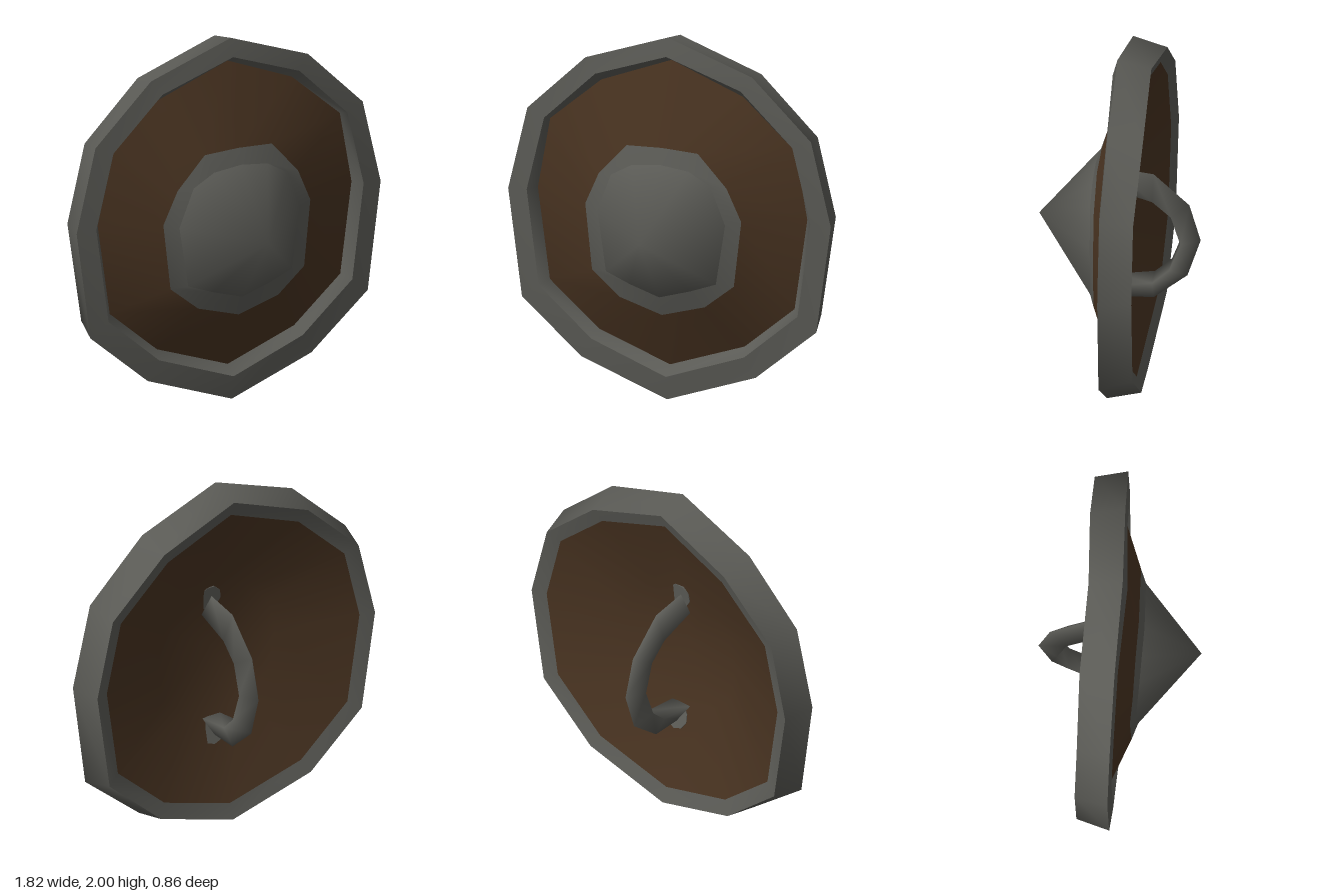
import * as THREE from 'three';
import { toCreasedNormals } from 'three/addons/utils/BufferGeometryUtils.js';

const iron = new THREE.MeshStandardMaterial({ color: 0x5a5a55 });
iron.name = 'iron grey';
const wood = new THREE.MeshStandardMaterial({ color: 0x473220 });
wood.name = 'dark wood';

// Mirror a right half (top to bottom) into a closed twelve-point ring
function ring(half) {
  const left = half.slice(1, -1).reverse().map(([x, y, z]) => [-x, y, z]);
  return [...half, ...left];
}
const point = (x, y, z) => Array.from({ length: 12 }, () => [x, y, z]);
const shrink = (r, s, dz) => r.map(([x, y, z]) => [x * s, 1 + (y - 1) * s, z + dz]);

// Skin successive rings; triangles collapsed at a point are dropped
function loft(name, material, rings, crease = 0.85) {
  const pos = [];
  const n = rings[0].length;
  const same = (a, b) => a.every((v, i) => v === b[i]);
  const tri = (a, b, c) => {
    if (!same(a, b) && !same(b, c) && !same(a, c)) pos.push(...a, ...b, ...c);
  };
  for (let r = 0; r < rings.length - 1; r++) {
    for (let i = 0; i < n; i++) {
      const j = (i + 1) % n;
      const [A, B] = [rings[r], rings[r + 1]];
      tri(A[i], B[i], A[j]);
      tri(A[j], B[i], B[j]);
    }
  }
  const geo = new THREE.BufferGeometry();
  geo.setAttribute('position', new THREE.Float32BufferAttribute(pos, 3));
  const mesh = new THREE.Mesh(toCreasedNormals(geo, crease), material);
  mesh.name = name;
  return mesh;
}

export function createModel() {
  const shield = new THREE.Group();
  shield.name = 'roundShield';

  // Rings from the back edge, over the rim, to the boss
  const backEdge = ring([[0, 1.96, -0.165], [0.45, 1.79, -0.185], [0.77, 1.48, -0.18],
    [0.87, 1.05, -0.185], [0.79, 0.5, -0.18], [0.47, 0.21, -0.18], [0, 0.05, -0.15]]);
  const frontEdge = ring([[0, 2, 0.015], [0.47, 1.83, 0], [0.8, 1.51, -0.005],
    [0.91, 1.05, -0.01], [0.83, 0.46, -0.005], [0.49, 0.17, 0], [0, 0, 0.025]]);
  const lip = ring([[0, 1.9, 0.04], [0.41, 1.75, 0.015], [0.7, 1.47, 0.01],
    [0.8, 1.06, 0.005], [0.73, 0.54, 0.01], [0.43, 0.28, 0.015], [0, 0.13, 0.045]]);
  const boardEdge = ring([[0, 1.86, -0.04], [0.4, 1.7, -0.05], [0.69, 1.45, -0.055],
    [0.76, 1.06, -0.055], [0.69, 0.56, -0.05], [0.41, 0.32, -0.045], [0, 0.18, -0.02]]);
  const collarEdge = ring([[0, 1.415, 0.1], [0.2, 1.405, 0.095], [0.36, 1.23, 0.09],
    [0.44, 1.05, 0.08], [0.4, 0.69, 0.085], [0.24, 0.56, 0.095], [0, 0.49, 0.1]]);
  const bossBase = ring([[0, 1.33, 0.13], [0.16, 1.31, 0.125], [0.28, 1.24, 0.12],
    [0.36, 1.03, 0.11], [0.31, 0.7, 0.115], [0.17, 0.65, 0.13], [0, 0.6, 0.14]]);
  const backFringe = shrink(backEdge, 0.91, 0.03);
  const backInner = shrink(backEdge, 0.42, 0.19);

  shield.add(
    loft('backBoard', wood, [point(0, 1, 0.06), backInner, backFringe]),
    loft('rim', iron, [backFringe, backEdge, frontEdge, lip, boardEdge]),
    loft('frontBoard', wood, [boardEdge, collarEdge]),
    loft('bossCollar', iron, [collarEdge, bossBase]),
    loft('boss', iron, [bossBase, point(0, 0.98, 0.43)], Math.PI),
  );

  // Handle: a bent bar of triangular section, given as outer y, z and inner y, z
  const bends = [[1.32, 0.03, 1.22, 0.03], [1.3, -0.18, 1.16, -0.18], [1.12, -0.37, 1.07, -0.28],
    [0.9, -0.43, 0.9, -0.33], [0.67, -0.36, 0.73, -0.27], [0.51, -0.18, 0.64, -0.18],
    [0.5, 0.02, 0.6, 0.03]];
  const sections = bends.map(([oy, oz, iy, iz]) =>
    [[0.02, oy, oz], [-0.037, iy, iz], [0.077, iy, iz]]);
  shield.add(loft('handle', iron, sections, Math.PI));

  // Plates where the handle meets the board
  for (const [y, z, tilt] of [[1.31, 0.028, -0.09], [0.52, 0.004, 0.34]]) {
    const plate = new THREE.Mesh(new THREE.CylinderGeometry(0.07, 0.07, 0.009, 9), iron);
    plate.name = 'handlePlate';
    plate.position.set(0.03, y, z);
    plate.rotation.x = Math.PI / 2 + tilt;
    shield.add(plate);
  }
  return shield;
}
